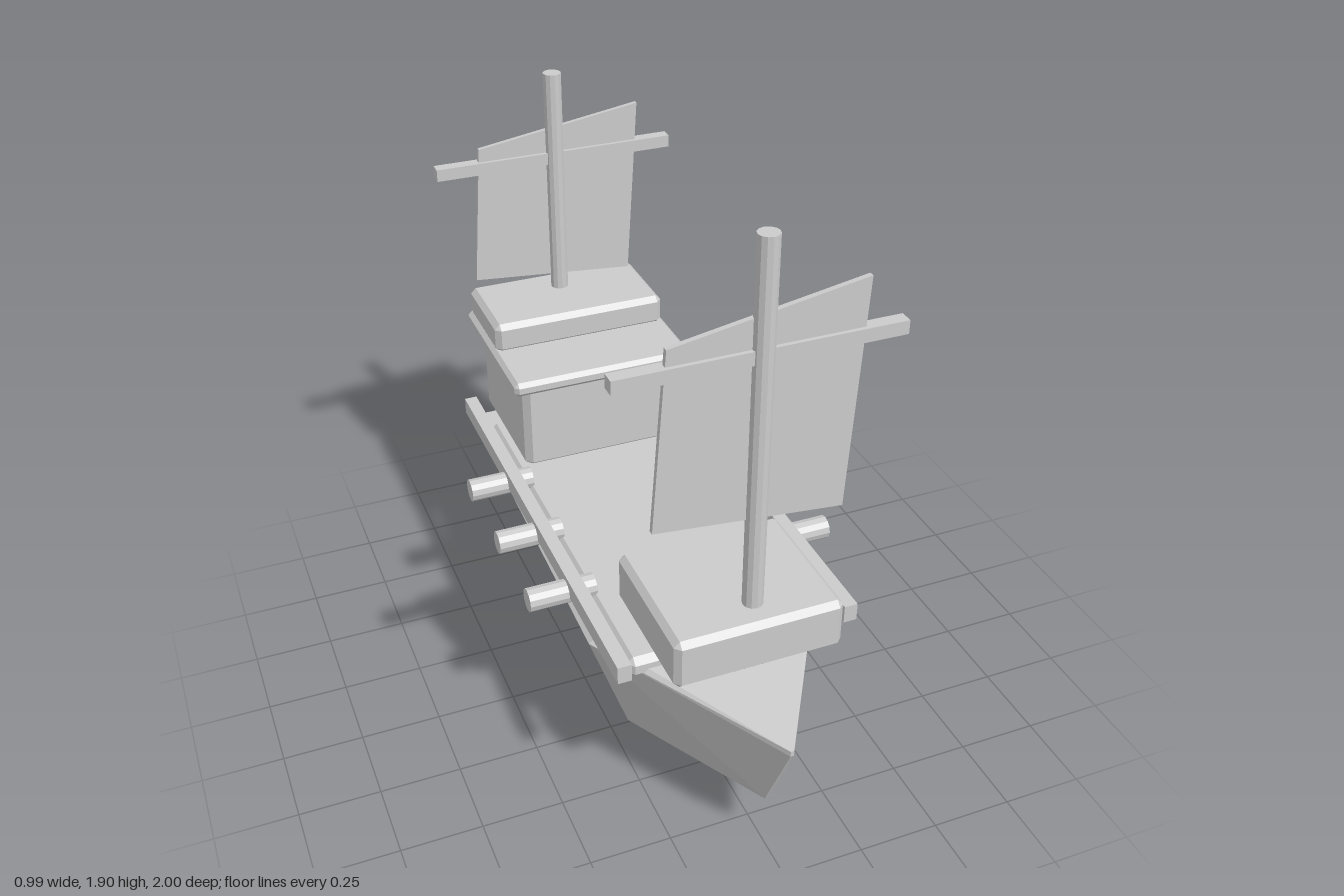
import * as THREE from 'three';
import { ConvexGeometry } from 'three/addons/geometries/ConvexGeometry.js';

const material = new THREE.MeshStandardMaterial({ color: 0xcccccc, flatShading: true });

function add(parent, name, geometry, x = 0, y = 0, z = 0) {
  const mesh = new THREE.Mesh(geometry, material);
  mesh.name = name;
  mesh.position.set(x, y, z);
  parent.add(mesh);
  return mesh;
}

// Box with one flat chamfer along every edge
function chamferBox(w, h, d, c) {
  const points = [];
  for (const sx of [-1, 1]) for (const sy of [-1, 1]) for (const sz of [-1, 1]) {
    for (let axis = 0; axis < 3; axis++) {
      const inset = [c, c, c];
      inset[axis] = 0;
      points.push(new THREE.Vector3(
        sx * (w / 2 - inset[0]), sy * (h / 2 - inset[1]), sz * (d / 2 - inset[2])));
    }
  }
  return new ConvexGeometry(points);
}

// Chamfered box given by half width and its y and z ranges
function block(parent, name, halfWidth, y0, y1, z0, z1, c) {
  add(parent, name, chamferBox(halfWidth * 2, y1 - y0, z1 - z0, c), 0, (y0 + y1) / 2, (z0 + z1) / 2);
}

// Faceted hull, from its right-hand corner points mirrored to the other side
function hullGeometry() {
  const corners = [
    // bow
    [0.005, 0.49, 1.0], [0.005, 0.472, 1.0], [0.005, 0.18, 0.865], [0.005, 0.165, 0.84],
    // widest section
    [0.35, 0.533, 0.41], [0.37, 0.515, 0.41], [0.195, 0.018, 0.26], [0.175, 0, 0.26],
    // stern
    [0.31, 0.508, -0.935], [0.333, 0.49, -0.915], [0.3, 0.49, -0.953],
    [0.2, 0.105, -0.87], [0.175, 0.088, -0.87], [0.175, 0.105, -0.892],
  ];
  return new ConvexGeometry(corners.flatMap(([x, y, z]) => [
    new THREE.Vector3(x, y, z), new THREE.Vector3(-x, y, z)]));
}

// Mast with yard and a skewed four-cornered sail
function addRig(parent, name, z, y0, y1, yardY, sailCorners) {
  const rig = new THREE.Group();
  rig.name = name;
  parent.add(rig);
  add(rig, 'mast', new THREE.CylinderGeometry(0.03, 0.03, y1 - y0, 12), 0, (y0 + y1) / 2, z);
  add(rig, 'yard', new THREE.BoxGeometry(0.81, 0.04, 0.04), 0, yardY, z - 0.01);
  const shape = new THREE.Shape(sailCorners.map(([x, y]) => new THREE.Vector2(x, y)));
  const sail = new THREE.ExtrudeGeometry(shape, { depth: 0.016, bevelEnabled: false });
  add(rig, 'sail', sail, 0, 0, z - 0.018);
}

export function createModel() {
  const ship = new THREE.Group();
  ship.name = 'sailingShip';

  add(ship, 'hull', hullGeometry());
  block(ship, 'deck', 0.31, 0.49, 0.56, -0.79, 0.58, 0.02);

  // Raised platform at the bow and cabin at the stern
  block(ship, 'forecastle', 0.255, 0.61, 0.77, 0.345, 0.79, 0.018);
  block(ship, 'cabin', 0.27, 0.545, 0.88, -0.947, -0.475, 0.022);
  block(ship, 'cabinRoof', 0.31, 0.858, 0.907, -0.995, -0.43, 0.014);
  block(ship, 'upperDeck', 0.298, 0.895, 1.0, -0.985, -0.665, 0.018);

  // Rails and cannons on both sides
  for (const side of [-1, 1]) {
    const label = side > 0 ? 'left' : 'right';
    add(ship, label + 'Rail', new THREE.BoxGeometry(0.042, 0.057, 1.525), side * 0.352, 0.597, -0.105);
    for (const z of [0.22, -0.085, -0.39]) {
      const barrel = add(ship, label + 'Cannon',
        new THREE.CylinderGeometry(0.037, 0.037, 0.21, 12), side * 0.39, 0.572, z);
      barrel.rotation.z = Math.PI / 2;
    }
  }

  addRig(ship, 'foreRig', 0.72, 0.795, 1.905, 1.573,
    [[-0.295, 1.105], [0.258, 1.05], [0.293, 1.735], [-0.258, 1.64]]);
  addRig(ship, 'aftRig', -0.883, 0.995, 1.765, 1.475,
    [[-0.295, 1.072], [0.256, 1.023], [0.293, 1.622], [-0.258, 1.538]]);

  return ship;
}
